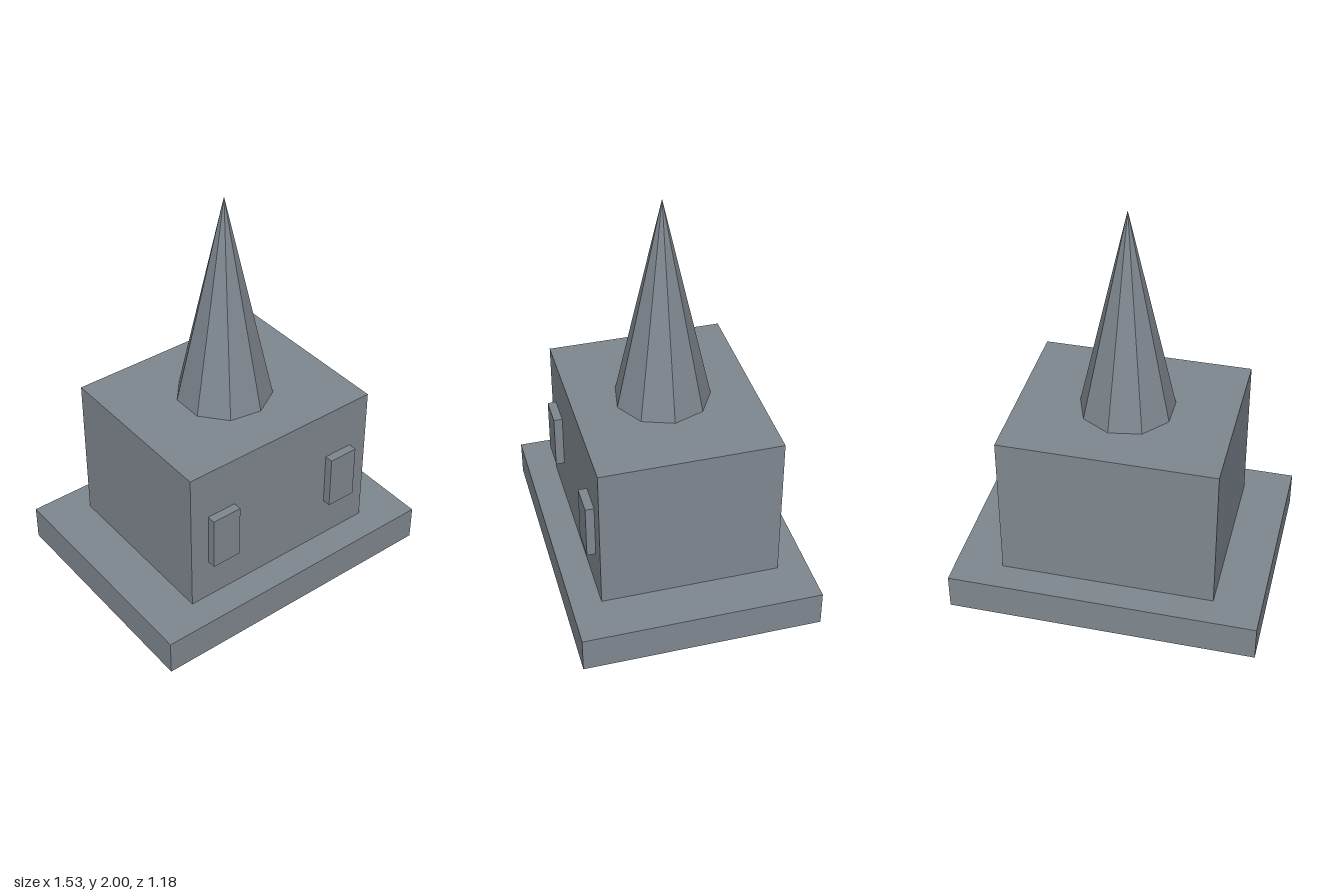
import * as THREE from 'three';

export function createModel() {
  const model = new THREE.Group();
  const stone = new THREE.MeshStandardMaterial({ color: 0x808890, flatShading: true });
  stone.name = 'greyStone';

  const add = (name, geometry, x, y, z) => {
    const mesh = new THREE.Mesh(geometry, stone);
    mesh.name = name;
    mesh.position.set(x, y, z);
    model.add(mesh);
  };

  // Plinth and main block
  add('plinth', new THREE.BoxGeometry(1.53, 0.18, 1.18), 0, 0.09, 0);
  add('mainBlock', new THREE.BoxGeometry(1.06, 0.76, 0.885), 0, 0.56, 0);

  // Nine-sided spire with one corner pointing to +x
  add('spire', new THREE.ConeGeometry(0.235, 1.06, 9, 1, false, Math.PI / 2), 0, 1.47, 0);

  // Raised window panels on the front
  for (const side of [-1, 1]) {
    add(side > 0 ? 'leftWindow' : 'rightWindow',
      new THREE.BoxGeometry(0.153, 0.28, 0.06), side * 0.355, 0.538, 0.455);
  }

  return model;
}
